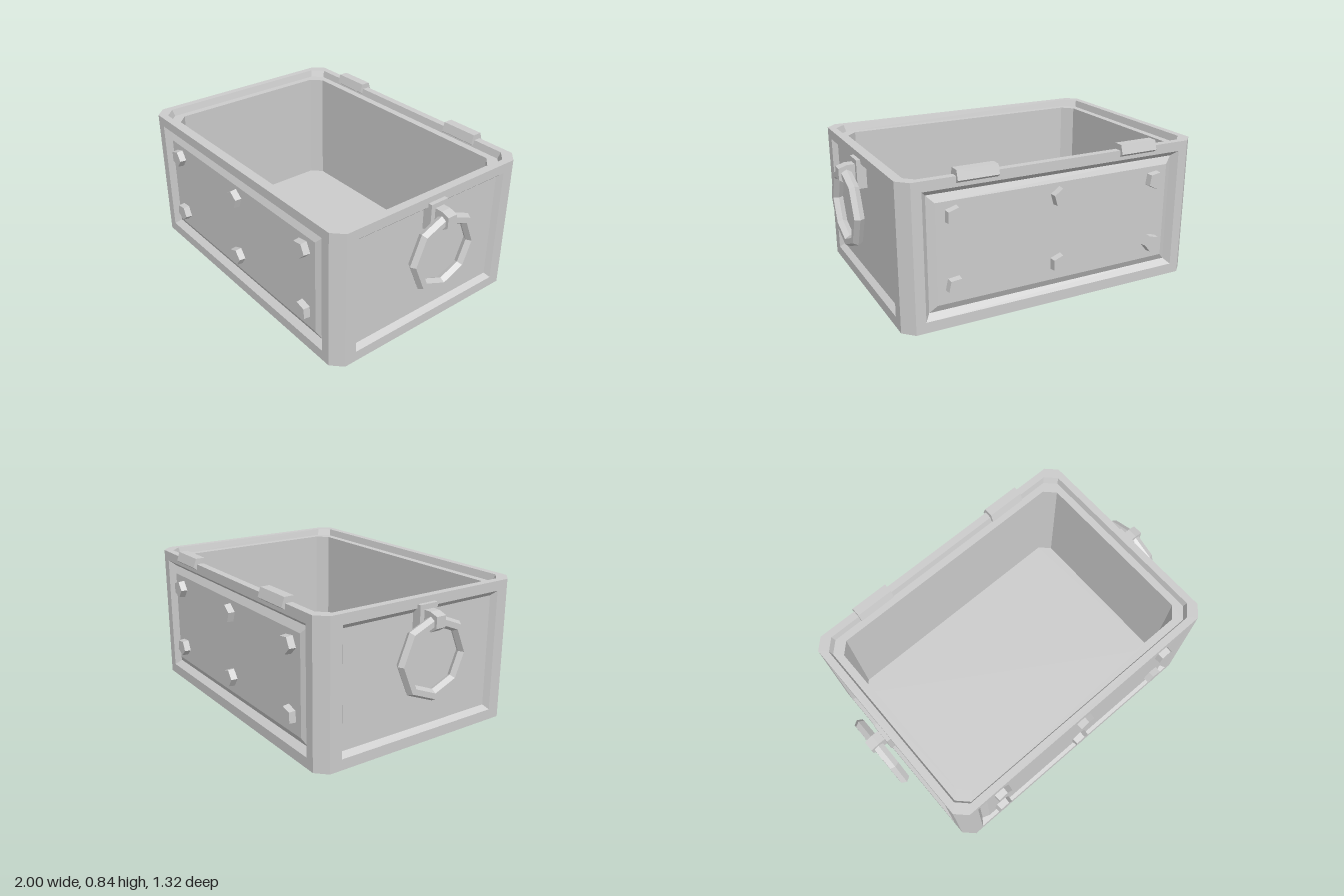
import * as THREE from 'three';

const HX = 0.885, HZ = 0.64, H = 0.805, C = 0.06;

function material(extra = {}) {
  return new THREE.MeshStandardMaterial({ color: 0xcccccc, flatShading: true, ...extra });
}

function addMesh(parent, geometry, name) {
  const mesh = new THREE.Mesh(geometry, material());
  mesh.name = name;
  parent.add(mesh);
  return mesh;
}

// Joins successive closed loops with quads; the last loop is capped with a fan
function loft(rings, { cap = true, keep = () => true } = {}) {
  const pos = [];
  const tri = (a, b, c) => pos.push(...a, ...b, ...c);
  for (let i = 0; i < rings.length - 1; i++) {
    const n = rings[i].length;
    for (let j = 0; j < n; j++) {
      if (!keep(j)) continue;
      const k = (j + 1) % n;
      tri(rings[i][j], rings[i][k], rings[i + 1][k]);
      tri(rings[i][j], rings[i + 1][k], rings[i + 1][j]);
    }
  }
  if (cap) {
    const r = rings[rings.length - 1];
    for (let j = 1; j < r.length - 1; j++) tri(r[0], r[j], r[j + 1]);
  }
  const g = new THREE.BufferGeometry();
  g.setAttribute('position', new THREE.Float32BufferAttribute(pos, 3));
  g.computeVertexNormals();
  return g;
}

// Chamfered rectangle at height y, inset from the outer walls
function octagon(inset, y) {
  const x = HX - inset, z = HZ - inset, a = x - C, b = z - C;
  return [[x, y, b], [x, y, -b], [a, y, -z], [-a, y, -z],
    [-x, y, -b], [-x, y, b], [-a, y, z], [a, y, z]];
}

// Rectangle on a wall facing +z
function rect(hw, y0, y1, z) {
  return [[-hw, y0, z], [hw, y0, z], [hw, y1, z], [-hw, y1, z]];
}

export function createModel() {
  const model = new THREE.Group();
  model.name = 'openChest';

  // Rim, inner ledge, inner walls and floor
  addMesh(model, loft([octagon(0, H), octagon(0.042, H), octagon(0.052, H - 0.04),
    octagon(0.095, H - 0.04), octagon(0.095, 0.06)]), 'rimAndInterior');

  // Recessed underside
  addMesh(model, loft([octagon(0, 0), octagon(0.085, 0), octagon(0.095, 0.035)]
    .map((r) => r.reverse())), 'underside');

  // Chamfered corner posts
  addMesh(model, loft([octagon(0, 0), octagon(0, H)],
    { cap: false, keep: (j) => j % 2 === 1 }), 'cornerPosts');

  // Front and back: frame, groove, raised panel and studs
  const spins = [0.1, 0.35, -0.25, 0.3, 0.6, 0.15];
  for (const [name, angle] of [['front', 0], ['back', Math.PI]]) {
    const wall = new THREE.Group();
    wall.name = name + 'Wall';
    wall.rotation.y = angle;
    model.add(wall);
    addMesh(wall, loft([
      rect(HX - C, 0, H, HZ), rect(0.77, 0.06, 0.75, HZ),
      rect(0.74, 0.09, 0.72, HZ - 0.035), rect(0.7, 0.13, 0.68, HZ - 0.015),
    ]), name + 'Panel');
    let i = 0;
    for (const y of [0.228, 0.605]) {
      for (const x of [-0.605, 0, 0.61]) {
        const stud = addMesh(wall, new THREE.CylinderGeometry(0.05, 0.055, 0.05, 5), 'stud');
        stud.position.set(x, y, HZ - 0.003);
        stud.rotation.set(Math.PI / 2, spins[i++], 0);
      }
    }
  }

  // Left and right: recessed panel with bracket and ring handle
  for (const [name, angle] of [['left', Math.PI / 2], ['right', -Math.PI / 2]]) {
    const wall = new THREE.Group();
    wall.name = name + 'Wall';
    wall.rotation.y = angle;
    model.add(wall);
    addMesh(wall, loft([
      rect(HZ - C, 0, H, HX), rect(0.51, 0.06, 0.75, HX), rect(0.487, 0.085, 0.722, HX - 0.03),
    ]), name + 'Panel');

    const plate = addMesh(wall, new THREE.BoxGeometry(0.114, 0.16, 0.058), 'handlePlate');
    plate.position.set(0, 0.692, 0.879);

    const profile = new THREE.Shape([[0.9, 0.745], [0.95, 0.745], [0.998, 0.73], [0.998, 0.668],
      [0.96, 0.642], [0.9, 0.66]].map(([d, y]) => new THREE.Vector2(d, y)));
    const bracket = addMesh(wall, new THREE.ExtrudeGeometry(profile,
      { depth: 0.06, bevelEnabled: false }), 'handleBracket');
    bracket.rotation.y = -Math.PI / 2;
    bracket.position.x = 0.03;

    const ring = addMesh(wall, new THREE.TorusGeometry(0.2, 0.032, 6, 8), 'ringHandle');
    ring.position.set(0, 0.502, 0.955);
  }

  // Hinge barrels on the back rim
  for (const x of [-0.482, 0.478]) {
    const hinge = addMesh(model, new THREE.CylinderGeometry(0.046, 0.046, 0.226, 5), 'hinge');
    hinge.rotation.set(0, 0, Math.PI / 2);
    // Apex of the pentagon points up
    hinge.geometry.rotateY(-Math.PI / 2);
    hinge.position.set(x, 0.8, -0.617);
  }
  return model;
}
